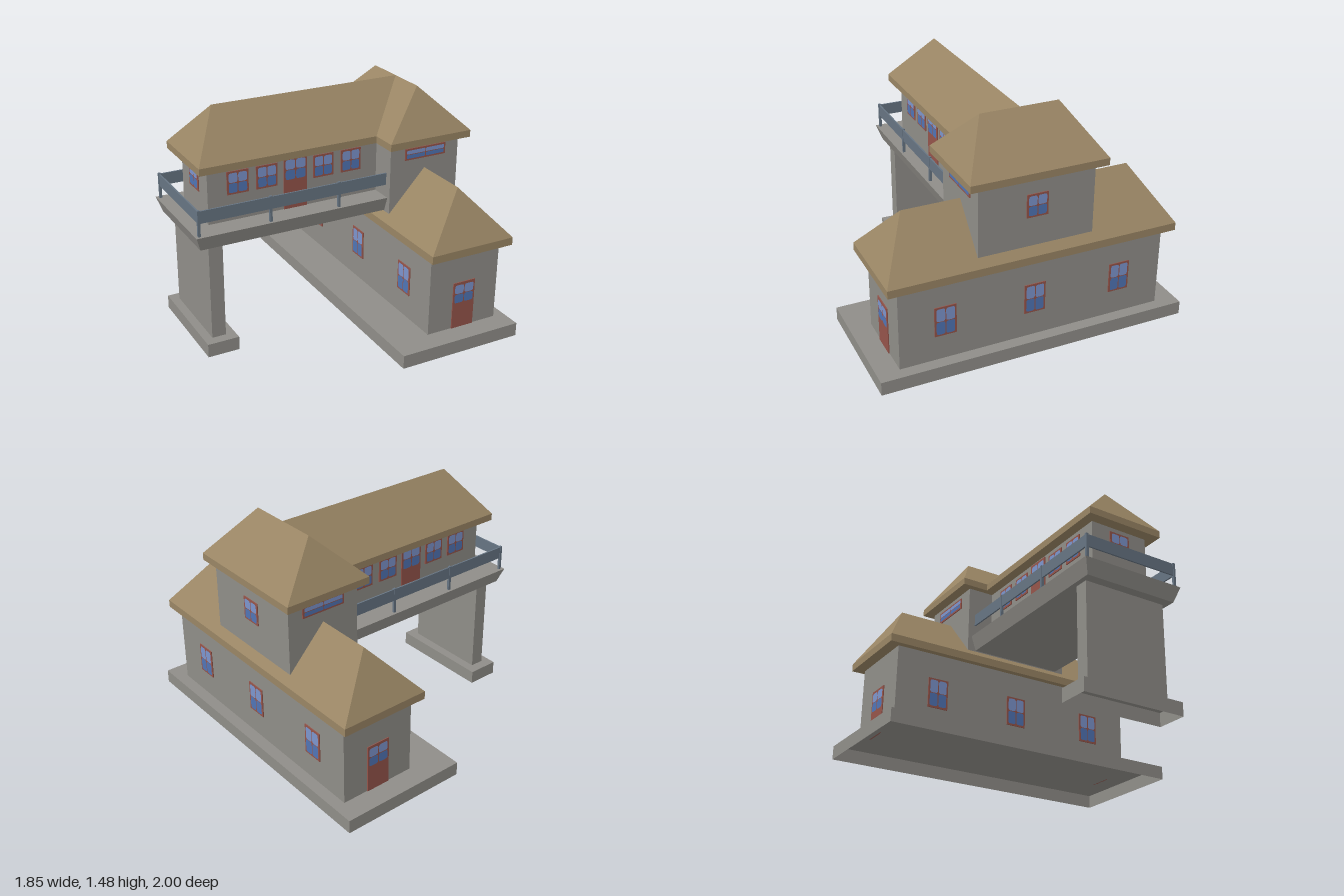
import * as THREE from 'three';

const mat = (name, color, side = THREE.FrontSide) => {
  const m = new THREE.MeshStandardMaterial({ color, side });
  m.name = name;
  return m;
};

export function createModel() {
  const root = new THREE.Group();
  const stone = mat('grey stone', 0x8f8d88, THREE.DoubleSide);
  const thatch = mat('tan roof', 0x998564);
  const red = mat('red timber', 0x94544a);
  const paleGlass = mat('pale blue glass', 0x7c94cc);
  const deepGlass = mat('deep blue glass', 0x5074b4);
  const steel = mat('slate railing', 0x667482);

  const add = (name, geo, material, parent = root) => {
    const m = new THREE.Mesh(geo, material);
    m.name = name;
    parent.add(m);
    return m;
  };

  // Box given by its extents
  const block = (name, x0, x1, y0, y1, z0, z1, material, open = false) => {
    const g = new THREE.BoxGeometry(x1 - x0, y1 - y0, z1 - z0);
    if (open) { // leave out the bottom face
      const idx = Array.from(g.index.array);
      idx.splice(18, 6);
      g.setIndex(idx);
      g.clearGroups();
    }
    g.translate((x0 + x1) / 2, (y0 + y1) / 2, (z0 + z1) / 2);
    return add(name, g, material);
  };

  // Flat-faced geometry from quads and triangles
  const faces = (list) => {
    const p = [];
    for (const f of list)
      for (let i = 1; i < f.length - 1; i++) p.push(...f[0], ...f[i], ...f[i + 1]);
    const g = new THREE.BufferGeometry();
    g.setAttribute('position', new THREE.Float32BufferAttribute(p, 3));
    g.computeVertexNormals();
    return g;
  };

  // Hipped roof along x: an eaves band, then slopes up to a ridge from ra to rb
  const hipRoof = (x0, x1, hz, y0, y1, yr, ra, rb) => {
    const ring = (y) => [[x0, y, hz], [x1, y, hz], [x1, y, -hz], [x0, y, -hz]];
    const a = ring(y0), b = ring(y1);
    const L = [ra, yr, 0], R = [rb, yr, 0];
    const list = [[a[3], a[2], a[1], a[0]]];
    for (let i = 0; i < 4; i++) {
      const j = (i + 1) % 4;
      list.push([a[i], a[j], b[j], b[i]]);
    }
    list.push([b[0], b[1], R, L], [b[1], b[2], R], [b[2], b[3], L, R], [b[3], b[0], L]);
    return faces(list);
  };

  // Foundations, open underneath
  block('stationFoundation', 0.095, 0.925, 0, 0.087, -1, 1, stone, true);
  block('pillarFoot', -0.885, -0.68, 0, 0.087, -0.345, 0.345, stone, true);
  block('pillar', -0.83, -0.74, 0.087, 0.71, -0.28, 0.28, stone);

  // Walls
  block('lowerWalls', 0.355, 0.85, 0.087, 0.61, -0.86, 0.86, stone);
  block('towerWalls', 0.355, 0.85, 0.64, 1.15, -0.37, 0.37, stone);
  block('wingWalls', -0.79, 0.355, 0.805, 1.15, -0.198, 0.198, stone);

  // Deck, tapering inward towards its underside
  const deck = new THREE.BoxGeometry(1.28, 0.095, 0.69).toNonIndexed();
  const dp = deck.attributes.position;
  for (let i = 0; i < dp.count; i++) {
    if (dp.getY(i) > 0) continue;
    if (dp.getX(i) < 0) dp.setX(i, dp.getX(i) + 0.033);
    dp.setZ(i, dp.getZ(i) - Math.sign(dp.getZ(i)) * 0.033);
  }
  deck.computeVertexNormals();
  deck.translate(-0.285, 0.7575, 0);
  add('deck', deck, stone);

  // Roofs
  const lower = add('lowerRoof', hipRoof(-0.93, 0.93, 0.29, 0.61, 0.66, 0.975, -0.735, 0.735), thatch);
  const tower = add('towerRoof', hipRoof(-0.435, 0.435, 0.29, 1.15, 1.195, 1.475, -0.25, 0.25), thatch);
  for (const r of [lower, tower]) {
    r.rotation.y = Math.PI / 2;
    r.position.x = 0.605;
  }
  add('wingRoof', hipRoof(-0.86, 0.605, 0.261, 1.15, 1.195, 1.475, -0.665, 0.605), thatch);

  // Railing
  for (const z of [-0.32, 0.32]) {
    block('sideRail', -0.905, 0.355, 0.887, 0.965, z - 0.005, z + 0.005, steel);
    for (const x of [-0.9, -0.44, 0.022])
      block('railPost', x - 0.008, x + 0.008, 0.805, 0.97, z - 0.008, z + 0.008, steel);
  }
  block('endRail', -0.905, -0.895, 0.887, 0.965, -0.32, 0.32, steel);

  // Pane with clipped corners
  const pane = (w, h) => {
    const s = new THREE.Shape();
    const c = Math.min(w, h) * 0.25, x = w / 2, y = h / 2;
    s.moveTo(-x + c, -y);
    s.lineTo(x - c, -y);
    s.quadraticCurveTo(x, -y, x, -y + c);
    s.lineTo(x, y - c);
    s.quadraticCurveTo(x, y, x - c, y);
    s.lineTo(-x + c, y);
    s.quadraticCurveTo(-x, y, -x, y - c);
    s.lineTo(-x, -y + c);
    s.quadraticCurveTo(-x, -y, -x + c, -y);
    return new THREE.ShapeGeometry(s, 3);
  };

  // Red plate with two pale panes above two deep ones; glass fills y from g0 to g1
  const opening = (name, x, z, turn, w, y0, y1, g0 = y0 + 0.01, g1 = y1 - 0.01) => {
    const o = new THREE.Group();
    o.name = name;
    const plate = add('frame', new THREE.BoxGeometry(w, y1 - y0, 0.008), red, o);
    plate.position.y = (y0 + y1) / 2;
    const pw = w / 2 - 0.014, ph = (g1 - g0) / 2 - 0.003;
    for (const sx of [-1, 1]) {
      for (const sy of [-1, 1]) {
        const p = add('pane', pane(pw, ph), sy > 0 ? paleGlass : deepGlass, o);
        p.position.set(sx * (pw / 2 + 0.003), (g0 + g1) / 2 + sy * (ph / 2 + 0.002), 0.0055);
      }
    }
    o.position.set(x, 0, z);
    o.rotation.y = turn;
    root.add(o);
  };

  // Openings on front and back
  for (const s of [1, -1]) {
    const turn = s > 0 ? 0 : Math.PI;
    for (const x of [-0.597, -0.407, -0.025, 0.168])
      opening('wingWindow', x, s * 0.2, turn, 0.14, 0.973, 1.12);
    opening('wingDoor', -0.216, s * 0.2, turn, 0.157, 0.805, 1.14, 0.995, 1.125);
    opening('towerWideWindow', 0.605, s * 0.372, turn, 0.295, 1.045, 1.12);
    opening('lowerDoor', 0.603, s * 0.862, turn, 0.157, 0.087, 0.4, 0.26, 0.385);
  }

  // Openings on the sides
  for (const z of [-0.573, 0, 0.573]) {
    opening('lowerWindow', 0.852, z, Math.PI / 2, 0.137, 0.25, 0.445);
    opening('lowerWindow', 0.353, z, -Math.PI / 2, 0.137, 0.25, 0.445);
  }
  opening('towerWindow', 0.852, 0, Math.PI / 2, 0.137, 0.897, 1.045);
  opening('wingEndWindow', -0.792, 0, -Math.PI / 2, 0.14, 0.973, 1.12);

  return root;
}
